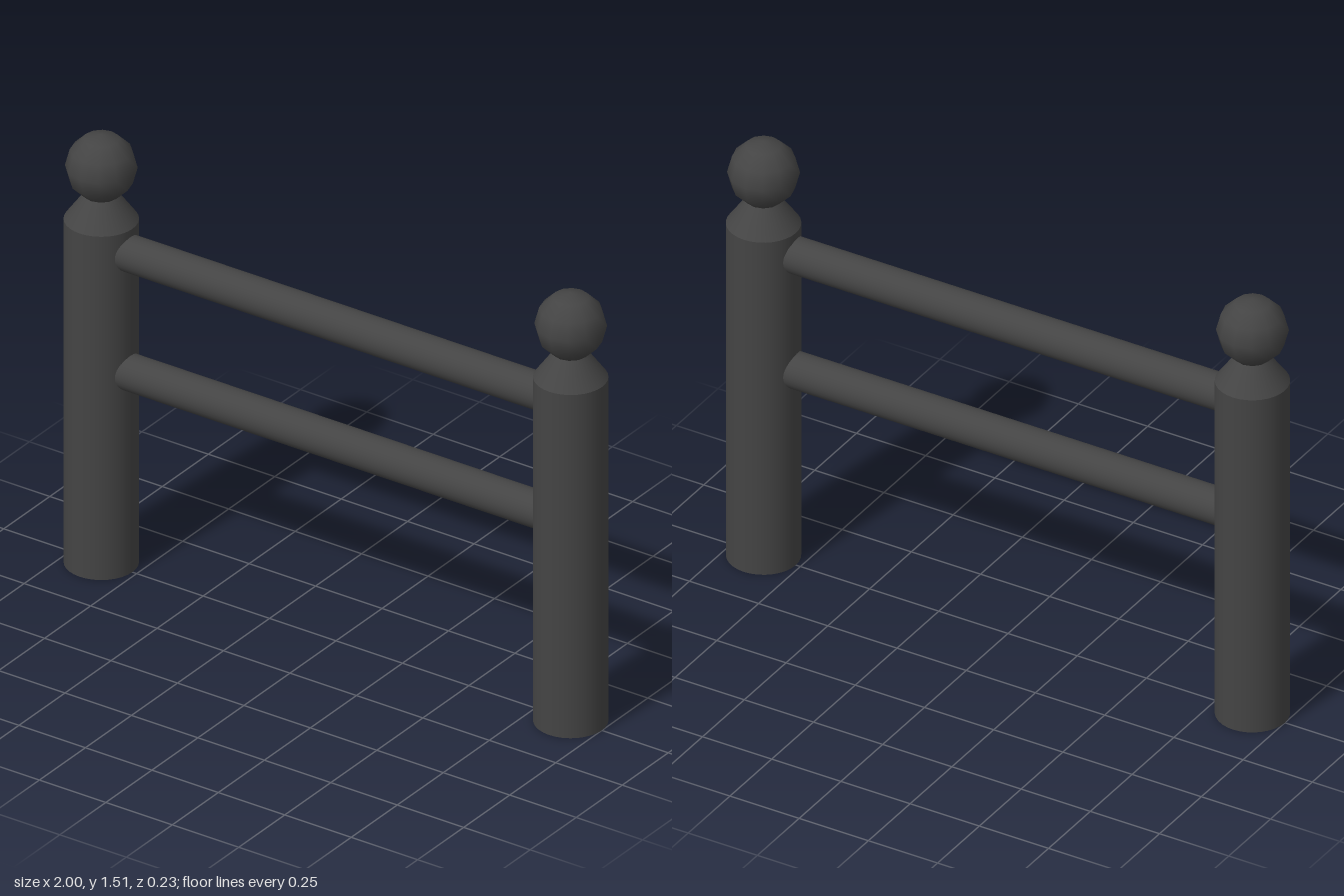
import * as THREE from 'three';

const POST_X = 0.883;
const POST_R = 0.117;

export function createModel() {
  const model = new THREE.Group();
  model.name = 'railFence';
  const material = new THREE.MeshStandardMaterial({ color: 0x444444 });

  const add = (parent, name, geometry, x, y, z = 0) => {
    const mesh = new THREE.Mesh(geometry, material);
    mesh.name = name;
    mesh.position.set(x, y, z);
    parent.add(mesh);
    return mesh;
  };

  // Two posts, each with a tapered neck and a ball finial
  for (const [side, sign] of [['left', 1], ['right', -1]]) {
    const post = new THREE.Group();
    post.name = side + 'Post';
    post.position.x = sign * POST_X;
    add(post, 'shaft', new THREE.CylinderGeometry(POST_R, POST_R, 1.215, 32), 0, 0.6075);
    add(post, 'neck', new THREE.CylinderGeometry(0.052, POST_R, 0.09, 32), 0, 1.26);
    add(post, 'ball', new THREE.SphereGeometry(0.113, 12, 6), 0, 1.4);
    model.add(post);
  }

  // Two round rails with their ends set into the posts
  for (const [name, y] of [['upperRail', 1.13], ['lowerRail', 0.71]]) {
    const rail = add(model, name, new THREE.CylinderGeometry(0.06, 0.06, 1.66, 32), 0, y, 0.006);
    rail.rotation.z = Math.PI / 2;
  }

  return model;
}
